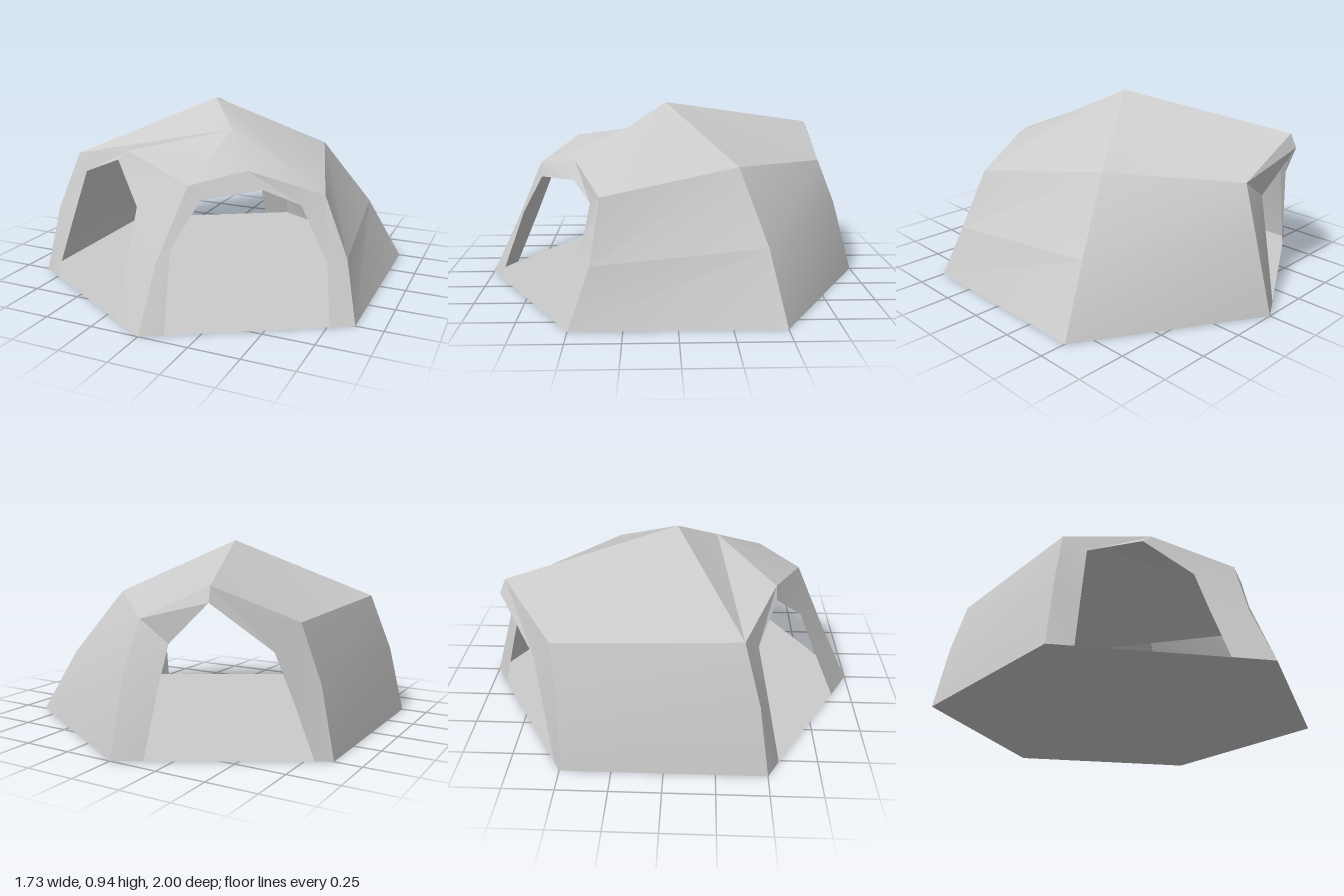
import * as THREE from 'three';
import { toCreasedNormals } from 'three/addons/utils/BufferGeometryUtils.js';

const material = new THREE.MeshStandardMaterial({ color: 0xcccccc, side: THREE.DoubleSide });

// Corner poles, each from the ground through a knee to the roof
const front = [[0, 0, 1], [0.02, 0.31, 0.85], [0.11, 0.64, 0.7]];
const frontLeft = [[0.866, 0, 0.5], [0.79, 0.28, 0.4], [0.66, 0.57, 0.36]];
const backLeft = [[0.866, 0, -0.5], [0.69, 0.33, -0.43], [0.45, 0.67, -0.31]];
const back = [[0, 0, -1], [0, 0.39, -0.89], [-0.03, 0.62, -0.8]];
const backRight = [[-0.866, 0, -0.5], [-0.8, 0.34, -0.5], [-0.71, 0.62, -0.53]];
const frontRight = [[-0.866, 0, 0.5], [-0.8, 0.35, 0.45], [-0.71, 0.645, 0.37]];

// Roof points: the peak, the ridge in front of it and the crown of each doorway
const peak = [-0.05, 0.94, 0.04];
const ridge = [0.13, 0.82, 0.25];
const leftCrown = [0.32, 0.685, 0.5];
const rightCrown = [-0.3, 0.73, 0.54];
const backCrown = [-0.4, 0.79, -0.79];

// Mesh from triangles, each turned to face away from the middle of the tent
function panel(name, triangles) {
  const centre = new THREE.Vector3(0, 0.2, 0);
  const positions = [];
  for (const points of triangles) {
    const [a, b, c] = points.map((p) => new THREE.Vector3(...p));
    const normal = b.clone().sub(a).cross(c.clone().sub(a));
    const outward = normal.dot(a.clone().sub(centre)) >= 0;
    for (const v of outward ? [a, b, c] : [a, c, b]) positions.push(v.x, v.y, v.z);
  }
  const geometry = new THREE.BufferGeometry();
  geometry.setAttribute('position', new THREE.Float32BufferAttribute(positions, 3));
  const mesh = new THREE.Mesh(toCreasedNormals(geometry, 0.3), material);
  mesh.name = name;
  return mesh;
}

// Band of triangle pairs between two lines of equally many points
function band(a, b) {
  const triangles = [];
  for (let i = 0; i < a.length - 1; i++) {
    triangles.push([a[i], b[i], b[i + 1]], [a[i], b[i + 1], a[i + 1]]);
  }
  return triangles;
}

// Doorway frame from one pole over the crown down to the next
function doorway(name, poleA, crown, poleB, opening) {
  const outer = [...poleA, crown, ...[...poleB].reverse()];
  return panel(name, band(outer, opening));
}

export function createModel() {
  const group = new THREE.Group();
  group.name = 'tent';

  // Closed walls
  group.add(
    panel('leftWall', band(frontLeft, backLeft)),
    panel('backLeftWall', band(backLeft, back)),
    panel('rightWall', band(backRight, frontRight)),
  );

  // Open doorways
  group.add(
    doorway('frontLeftDoorway', front, leftCrown, frontLeft, [
      [0.1, 0, 0.94], [0.07, 0.36, 0.81], [0.17, 0.575, 0.69], [0.4, 0.6, 0.5],
      [0.56, 0.52, 0.41], [0.71, 0.27, 0.46], [0.76, 0, 0.56],
    ]),
    doorway('frontRightDoorway', front, rightCrown, frontRight, [
      [-0.18, 0, 0.9], [-0.175, 0.28, 0.78], [-0.17, 0.5, 0.69], [-0.36, 0.68, 0.54],
      [-0.62, 0.57, 0.44], [-0.69, 0.29, 0.5], [-0.76, 0, 0.56],
    ]),
    doorway('backDoorway', back, backCrown, backRight, [
      [-0.13, 0, -0.925], [-0.155, 0.3, -0.85], [-0.18, 0.515, -0.79], [-0.41, 0.72, -0.82],
      [-0.63, 0.495, -0.63], [-0.71, 0.26, -0.585], [-0.79, 0, -0.54],
    ]),
  );

  // Roof: a fan round the ridge in front and a fan round the peak behind
  const ridgeRim = [peak, frontRight[2], rightCrown, front[2], leftCrown, frontLeft[2], peak];
  const peakRim = [frontLeft[2], backLeft[2], back[2], backCrown, backRight[2], frontRight[2]];
  const fan = (hub, rim) => rim.slice(1).map((p, i) => [hub, rim[i], p]);
  group.add(panel('roof', [...fan(ridge, ridgeRim), ...fan(peak, peakRim)]));

  // Ground sheet
  const corners = [front, frontLeft, backLeft, back, backRight, frontRight, front].map((p) => p[0]);
  group.add(panel('floor', fan([0, 0, 0], corners)));

  return group;
}
